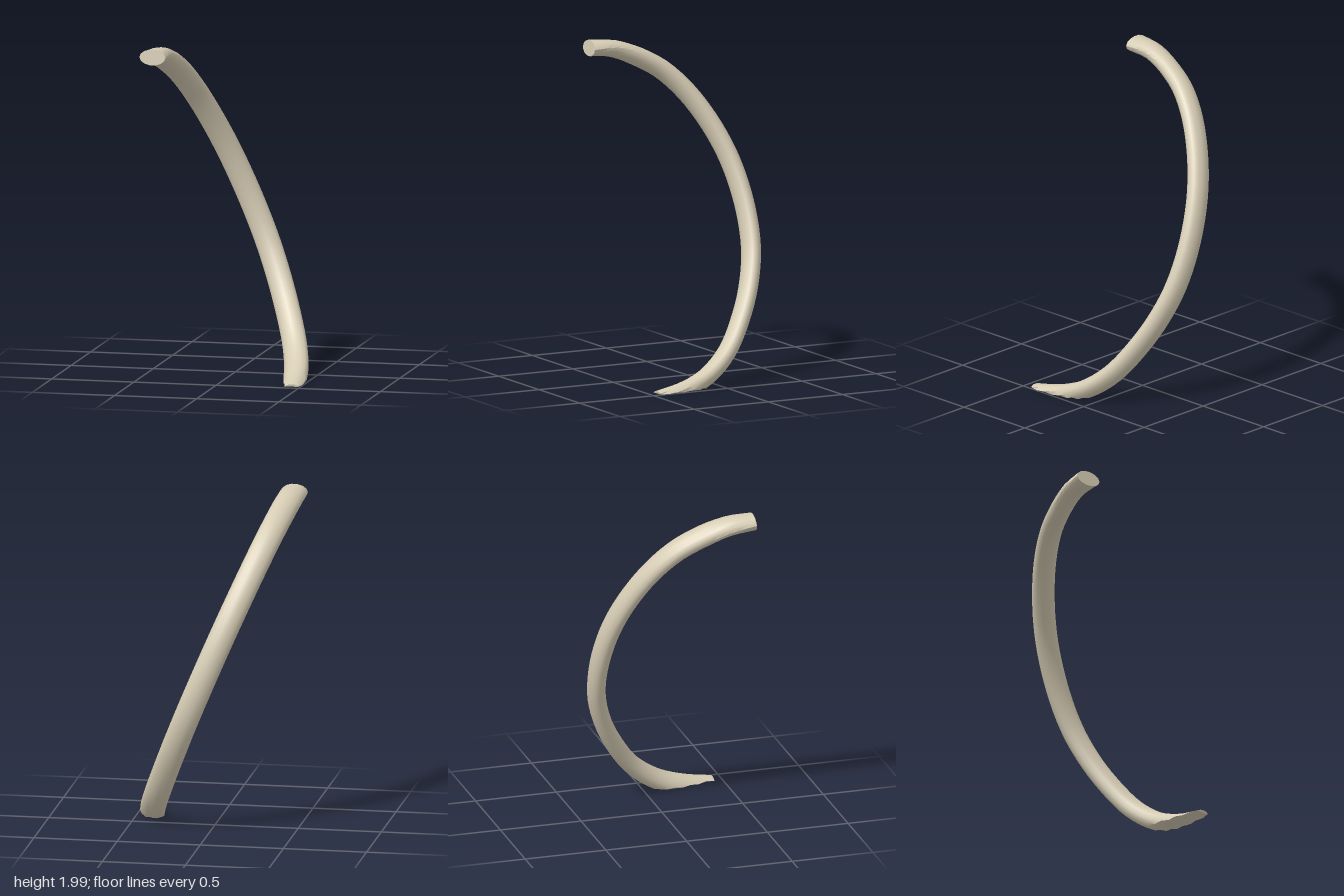
import * as THREE from 'three';
import { toCreasedNormals } from 'three/addons/utils/BufferGeometryUtils.js';

const FLOOR = 0.01;      // the lower end is sliced flat at this height
const SIDES = 14;
const STEPS = 56;

// Half-circle centre line as [z, y]; x follows from the sloping plane it lies in
const PATH = [
  [0.445, 1.953], [0.3, 1.94], [0.2, 1.908], [0.1, 1.862], [0, 1.802], [-0.1, 1.71],
  [-0.2, 1.58], [-0.3, 1.39], [-0.36, 1.2], [-0.388, 0.96], [-0.37, 0.74], [-0.3, 0.53],
  [-0.2, 0.35], [-0.1, 0.215], [0, 0.125], [0.1, 0.062], [0.2, 0.022], [0.3, -0.006], [0.44, -0.032],
];

// Oval tube swept along the path, sliced by the floor at its lower end
function curvedTube() {
  const curve = new THREE.CatmullRomCurve3(
    PATH.map(([z, y]) => new THREE.Vector3(-0.42 * (y - 1), y, z)));
  const positions = [], index = [];

  for (let i = 0; i <= STEPS; i++) {
    const t = i / STEPS;
    const centre = curve.getPointAt(t);
    const tangent = curve.getTangentAt(t);
    // the oval turns level towards the upper end
    const level = Math.max(0, 1 - t / 0.1);
    const wide = new THREE.Vector3(0.92, 0.39 * (1 - level), 0);
    wide.addScaledVector(tangent, -wide.dot(tangent)).normalize();
    const thick = new THREE.Vector3().crossVectors(tangent, wide);
    const a = 0.077 + 0.003 * level, b = 0.054 - 0.006 * level;

    const ring = [];
    for (let j = 0; j < SIDES; j++) {
      const angle = (j / SIDES) * Math.PI * 2;
      ring.push(centre.clone()
        .addScaledVector(wide, a * Math.cos(angle))
        .addScaledVector(thick, b * Math.sin(angle)));
    }
    // draw points below the floor towards the ring's highest point
    const top = ring.reduce((p, q) => (q.y > p.y ? q : p)).clone();
    for (const p of ring) {
      if (p.y < FLOOR) p.lerp(top, (FLOOR - p.y) / (top.y - p.y));
      positions.push(p.x, p.y, p.z);
    }
  }

  // side faces
  for (let i = 0; i < STEPS; i++) {
    for (let j = 0; j < SIDES; j++) {
      const k = (j + 1) % SIDES;
      const p = i * SIDES + j, q = i * SIDES + k;
      index.push(p, q, p + SIDES, q, q + SIDES, p + SIDES);
    }
  }
  // end caps
  const last = STEPS * SIDES;
  for (let j = 1; j < SIDES - 1; j++) {
    index.push(0, j + 1, j, last, last + j, last + j + 1);
  }

  const geometry = new THREE.BufferGeometry();
  geometry.setAttribute('position', new THREE.Float32BufferAttribute(positions, 3));
  geometry.setIndex(index);
  return toCreasedNormals(geometry, 0.7);
}

export function createModel() {
  const group = new THREE.Group();
  group.name = 'curvedRib';
  const bone = new THREE.MeshStandardMaterial({ color: 0xd6ccb4 });
  bone.name = 'bone';
  const shaft = new THREE.Mesh(curvedTube(), bone);
  shaft.name = 'ribShaft';
  group.add(shaft);
  return group;
}
